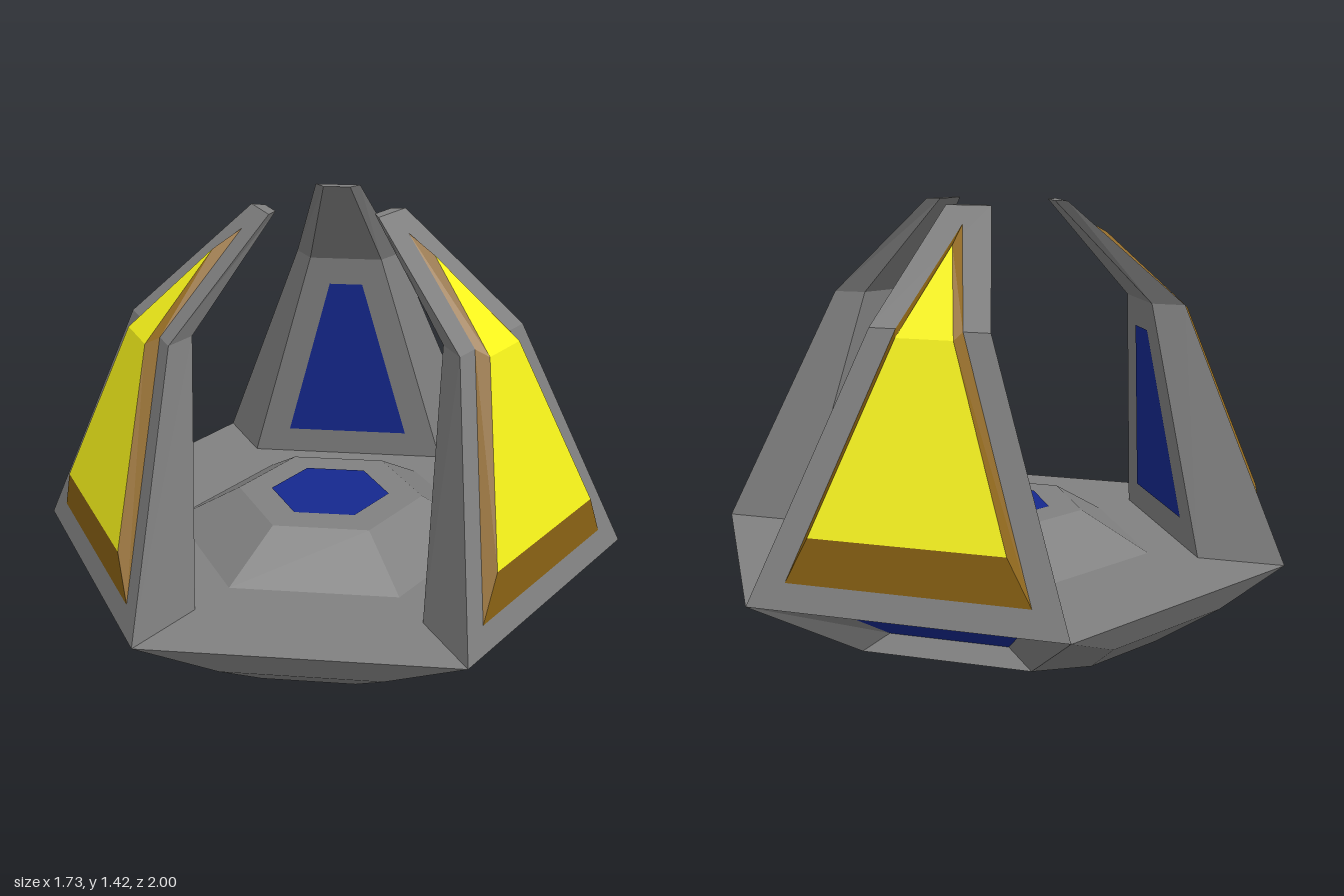
import * as THREE from 'three';

const paint = (color) => new THREE.MeshStandardMaterial({ color, flatShading: true });

// Mesh from flat polygons, each a list of [x, y, z] corners, counter-clockwise from outside
function polyMesh(name, polys, material) {
  const pos = [];
  for (const p of polys)
    for (let i = 1; i < p.length - 1; i++) pos.push(...p[0], ...p[i], ...p[i + 1]);
  const geo = new THREE.BufferGeometry();
  geo.setAttribute('position', new THREE.Float32BufferAttribute(pos, 3));
  geo.computeVertexNormals();
  const mesh = new THREE.Mesh(geo, material);
  mesh.name = name;
  return mesh;
}

// Quads joining two rings of equal length
const band = (a, b) => a.map((p, i) => {
  const j = (i + 1) % a.length;
  return [p, a[j], b[j], b[i]];
});

// Trapezoid facing +x: radius, height and half width of the bottom and top edges
const trapezoid = ([r0, y0, w0], [r1, y1, w1]) =>
  [[r0, y0, w0], [r0, y0, -w0], [r1, y1, -w1], [r1, y1, w1]];

// Level cross-section of a claw
const section = (y, ro, wo, ri, wi) =>
  [[ro, y, wo], [ro, y, -wo], [ri, y, -wi], [ri, y, wi]];

// Pointed panel outline: bottom edge, elbow, tip
const pointed = ([r0, y0, w0], [r1, y1, w1], [r2, y2]) =>
  [[r0, y0, w0], [r0, y0, -w0], [r1, y1, -w1], [r2, y2, 0], [r1, y1, w1]];

export function createModel() {
  const model = new THREE.Group();
  model.name = 'clawedPlatform';
  const grey = paint(0x808080);
  const yellow = paint(0xf6f21a);
  const gold = paint(0x8c6414);
  const blue = paint(0x15288e);

  // Base plate and underside
  const hexagon = (R, y) => Array.from({ length: 6 }, (_, i) => {
    const a = (i * Math.PI) / 3;
    return [R * Math.sin(a), y, R * Math.cos(a)];
  });
  model.add(polyMesh('basePlate', [hexagon(1, 0.26), hexagon(0.566, 0).reverse()], grey));

  // Raised centre with its blue inlay
  const dais = new THREE.Mesh(new THREE.CylinderGeometry(0.32, 0.55, 0.13, 6), grey);
  dais.name = 'dais';
  dais.position.y = 0.325;
  model.add(dais, polyMesh('daisInlay', [hexagon(0.205, 0.393)], blue));

  const side = trapezoid([0.49, 0, 0.283], [0.866, 0.26, 0.5]);

  for (let i = 0; i < 3; i++) {
    const turn = (i * Math.PI * 2) / 3;

    // Claw body, bent inwards at the elbow
    const claw = new THREE.Group();
    claw.name = 'claw';
    claw.rotation.y = turn;
    const foot = section(0.26, 0.866, 0.5, 0.62, 0.36);
    const elbow = section(1.08, 0.615, 0.19, 0.52, 0.13);
    const tip = section(1.42, 0.24, 0.075, 0.205, 0.045);
    claw.add(polyMesh('clawBody', [...band(foot, elbow), ...band(elbow, tip), tip], grey));

    // Raised yellow panel with a gold bevel
    const rim = pointed([0.842, 0.34, 0.38], [0.616, 1.08, 0.105], [0.302, 1.365]);
    const top = pointed([0.84, 0.485, 0.305], [0.66, 1.06, 0.09], [0.4, 1.31]);
    claw.add(polyMesh('panelBevel', band(rim, top), gold));
    claw.add(polyMesh('outerPanel',
      [[top[0], top[1], top[2], top[4]], [top[2], top[3], top[4]]], yellow));

    // Blue panel on the inner face
    claw.add(polyMesh('innerPanel',
      [trapezoid([0.605, 0.36, -0.225], [0.529, 0.98, -0.06])], blue));

    // Recessed blue window below the claw
    const window_ = trapezoid([0.46, 0.06, 0.2], [0.67, 0.2, 0.305]);
    claw.add(polyMesh('windowFrame', band(side, window_), grey));
    claw.add(polyMesh('window', [window_], blue));
    model.add(claw);

    // Bulging hull plate between two claws
    const bulge = trapezoid([0.62, 0.02, 0.15], [0.8, 0.155, 0.25]);
    const plate = polyMesh('hullPlate', [...band(side, bulge), bulge], grey);
    plate.rotation.y = turn + Math.PI;
    model.add(plate);
  }
  return model;
}
